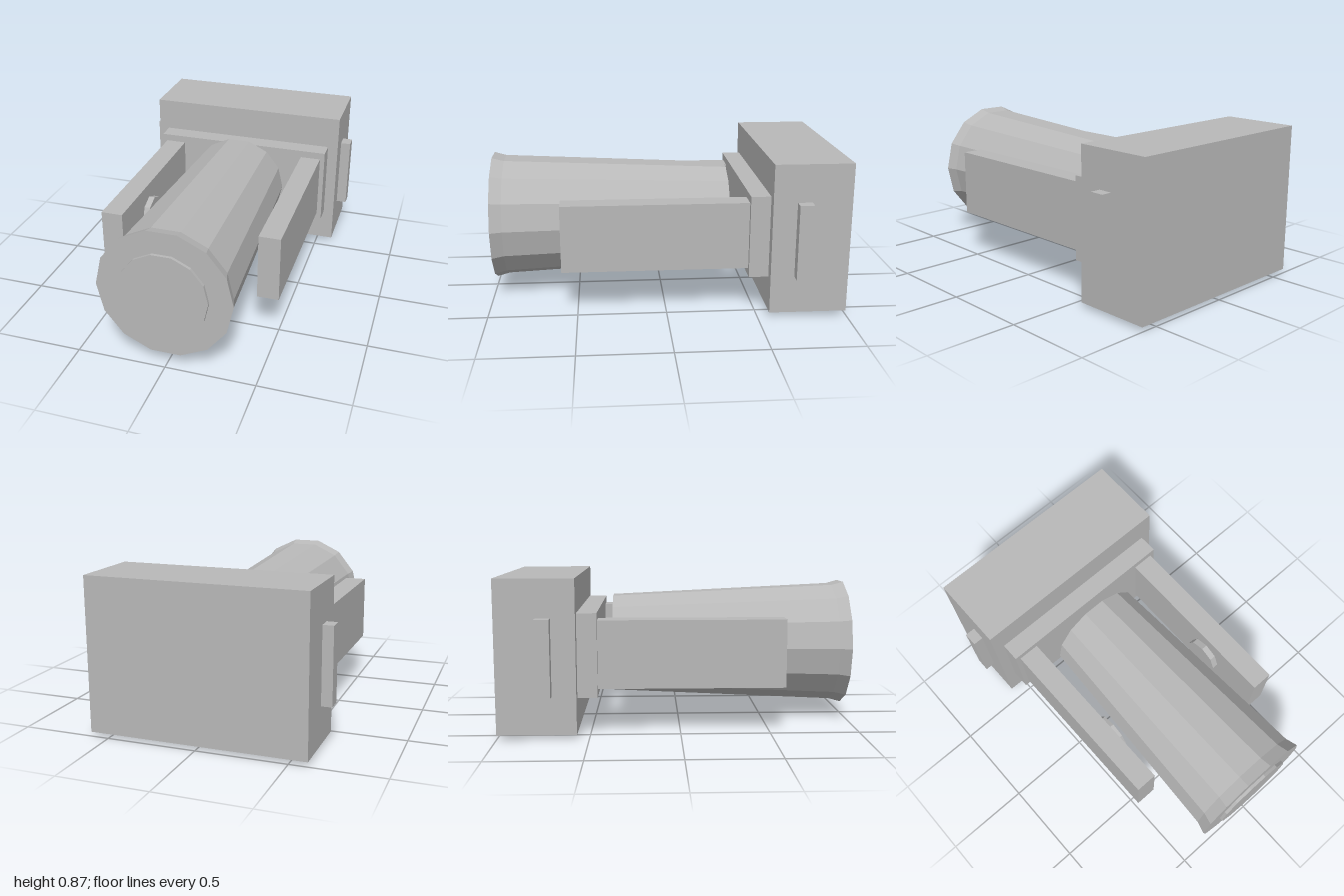
import * as THREE from 'three';

export function createModel() {
  const model = new THREE.Group();
  const grey = new THREE.MeshStandardMaterial({ color: 0xb8b8b8, flatShading: true });
  grey.name = 'plain grey';

  const add = (name, geometry) => {
    const mesh = new THREE.Mesh(geometry, grey);
    mesh.name = name;
    model.add(mesh);
  };
  // Box given by its lower and upper limits on each axis
  const box = (name, [x0, x1], [y0, y1], [z0, z1]) =>
    add(name, new THREE.BoxGeometry(x1 - x0, y1 - y0, z1 - z0)
      .translate((x0 + x1) / 2, (y0 + y1) / 2, (z0 + z1) / 2));
  // Fourteen-sided turned part along z, from [radius, z] pairs
  const axisY = 0.449;
  const turned = (name, profile) =>
    add(name, new THREE.LatheGeometry(profile.map(([r, z]) => new THREE.Vector2(r, z)), 14, Math.PI / 2)
      .rotateX(Math.PI / 2).translate(0, axisY, 0));

  // Housing, mounting plate and foot
  box('housing', [-0.6, 0.6], [0.025, 0.872], [-1, -0.566]);
  box('mountingPlate', [-0.538, 0.538], [0.216, 0.68], [-0.566, -0.456]);
  box('foot', [-0.21, 0.21], [0, 0.025], [-0.86, -0.66]);

  // Flared barrel with a raised lens
  turned('barrel', [[0, -0.385], [0.291, -0.385], [0.354, 0.915], [0.373, 0.983], [0, 0.983]]);
  turned('lens', [[0, 0.95], [0.245, 0.95], [0.245, 1], [0, 1]]);

  // Yoke arms, pivots and side latches, mirrored
  for (const [side, s] of [['left', 1], ['right', -1]]) {
    const span = (a, b) => (s > 0 ? [a, b] : [-b, -a]);
    box(side + 'Arm', span(0.388, 0.51), [0.259, 0.638], [-0.456, 0.583]);
    box(side + 'Latch', span(0.6, 0.659), [0.237, 0.66], [-0.778, -0.698]);
    add(side + 'Pivot', new THREE.CylinderGeometry(0.108, 0.108, 0.04, 8)
      .rotateZ(Math.PI / 2).translate(s * 0.373, axisY, 0.187));
  }
  return model;
}
